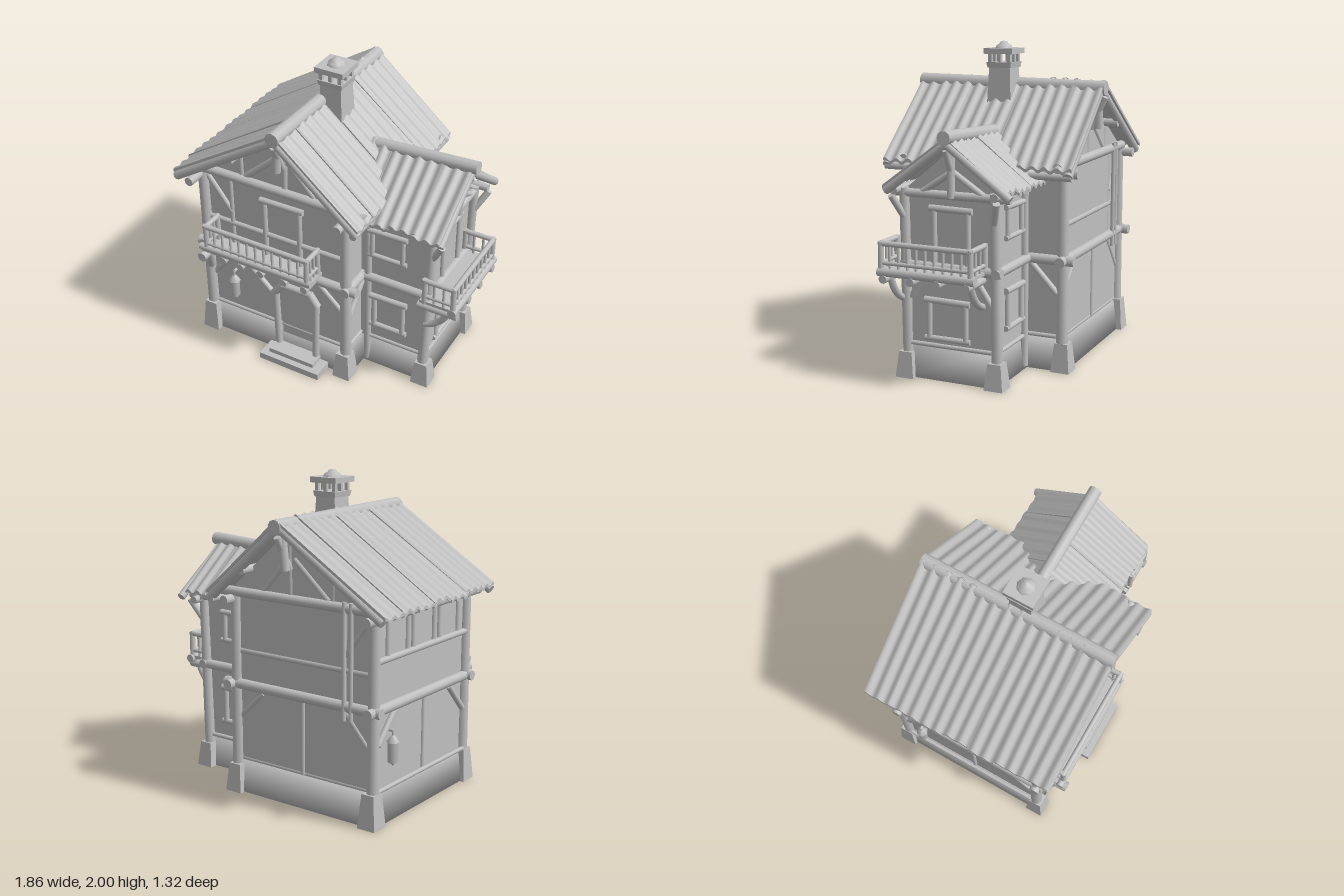
import * as THREE from 'three';
import { mergeVertices } from 'three/addons/utils/BufferGeometryUtils.js';

export function createModel() {
  const house = new THREE.Group();
  house.name = 'timberHouse';
  const grey = new THREE.MeshStandardMaterial({ color: 0xc0c0c0 });
  grey.name = 'plain grey';
  let seed = 7;
  const rnd = () => (seed = (seed * 16807) % 2147483647) / 2147483647 - 0.5;

  const add = (name, geo, x = 0, y = 0, z = 0) => {
    const m = new THREE.Mesh(geo, grey);
    m.name = name;
    m.position.set(x, y, z);
    house.add(m);
    return m;
  };
  // box given by its minimum and maximum corners
  const box = (name, a, b) => add(name, new THREE.BoxGeometry(b[0] - a[0], b[1] - a[1], b[2] - a[2]),
    (a[0] + b[0]) / 2, (a[1] + b[1]) / 2, (a[2] + b[2]) / 2);
  // round timber between two points
  const log = (name, a, b, r = 0.025, r2 = r) => {
    const p = new THREE.Vector3(...a), q = new THREE.Vector3(...b);
    const d = q.clone().sub(p), c = p.add(q).multiplyScalar(0.5);
    const m = add(name, new THREE.CylinderGeometry(r2, r, d.length(), 10), c.x, c.y, c.z);
    m.quaternion.setFromUnitVectors(new THREE.Vector3(0, 1, 0), d.normalize());
    return m;
  };
  // softly shaded plinth, wider at the ground
  const plinth = (name, x0, x1, z0, z1) => {
    let g = new THREE.BoxGeometry(x1 - x0, 0.21, z1 - z0);
    const p = g.attributes.position;
    for (let i = 0; i < p.count; i++) if (p.getY(i) < 0) {
      p.setX(i, p.getX(i) + 0.03 * Math.sign(p.getX(i)));
      p.setZ(i, p.getZ(i) + 0.03 * Math.sign(p.getZ(i)));
    }
    g.deleteAttribute('normal');
    g.deleteAttribute('uv');
    g = mergeVertices(g);
    g.computeVertexNormals();
    add(name, g, (x0 + x1) / 2, 0.108, (z0 + z1) / 2);
  };
  const stone = (x, z, h) => {
    const g = new THREE.CylinderGeometry(0.06, 0.085, h, 4, 1).rotateY(Math.PI / 4).toNonIndexed();
    g.computeVertexNormals();
    add('cornerStone', g, x, h / 2, z);
  };
  // gabled wall block extruded along its ridge
  const gable = (name, pts, depth) => add(name, new THREE.ExtrudeGeometry(
    new THREE.Shape(pts.map(p => new THREE.Vector2(...p))), { depth, bevelEnabled: false }));

  // ---- walls and plinths
  gable('mainWalls', [[-0.79, 0.2], [0.24, 0.2], [0.24, 1.32], [-0.17, 1.68], [-0.79, 1.29]], 1).position.z = -0.53;
  const wing = gable('wingWalls', [[-0.29, 0.2], [0.29, 0.2], [0.29, 1.19], [0.03, 1.42], [-0.29, 1.16]], 0.5);
  wing.rotation.y = Math.PI / 2;
  wing.position.x = 0.2;
  plinth('mainPlinth', -0.79, 0.24, -0.53, 0.47);
  plinth('wingPlinth', 0.1, 0.69, -0.28, 0.28);

  // ---- corner posts on stones
  for (const z of [0.48, -0.53]) {
    stone(-0.785, z + Math.sign(z) * 0.005, 0.21);
    stone(0.23, z + Math.sign(z) * 0.005, 0.18);
    log('cornerPost', [-0.79, 0.18, z], [-0.79, 1.27, z], 0.038, 0.034);
    log('cornerPost', [0.235, 0.15, z], [0.235, 1.27, z], 0.038, 0.034);
  }
  for (const z of [0.29, -0.3]) {
    stone(0.695, z, 0.16);
    log('wingPost', [0.69, 0.14, z], [0.72, 1.17, z], 0.035, 0.03);
    log('innerPost', [0.29, 0.02, z], [0.29, 1.17, z], 0.025);
    log('wingSill', [0.27, 0.215, z], [0.7, 0.215, z], 0.014);
    log('wingBelt', [0.25, 0.7, z * 1.03], [0.74, 0.7, z * 1.03], 0.03);
    log('wingPlate', [0.25, 1.16, z * 1.1], [0.8, 1.16, z * 1.1], 0.025);
    log('wingKnee', [0.73, 1.0, z], [0.8, 1.13, z * 1.15], 0.022);
    log('wingWallBrace', [0.7, 0.5, z * 0.9], [0.7, 0.68, z * 0.5], 0.02);
  }
  log('wingSideSill', [0.7, 0.215, -0.3], [0.7, 0.215, 0.3], 0.014);
  log('wingSideBelt', [0.71, 0.7, -0.34], [0.71, 0.7, 0.34], 0.03);

  // ---- belts, sills and plates of the main block
  for (const z of [0.49, -0.54]) {
    const s = Math.sign(z), w = z - s * 0.02;
    log('belt', [-0.85, 0.7, z], [0.32, 0.7, z], 0.032);
    log('sill', [-0.79, 0.215, w], [0.24, 0.215, w], 0.014);
    log('tieBeam', [-0.82, 1.28, z], [0.37, 1.28, z], 0.03);
    log('rail', [-0.79, 0.91, w], [0.24, 0.91, w], 0.02);
    log('upperStud', [-0.59, 0.7, w], [-0.59, 1.26, w], 0.016);
    log('upperBrace', [-0.77, 1.24, w], [-0.59, 1.0, w], 0.02);
    log('lowerBrace', [-0.77, 0.45, w], [-0.57, 0.68, w], 0.02);
    log('lowerBrace', [0.21, 0.49, w], [0.03, 0.66, w], 0.02);
    // gable timbers
    log('kingPost', [-0.2, 1.46, z + s * 0.05], [-0.18, 1.7, z + s * 0.06], 0.028);
    log('kingStud', [-0.19, 1.28, w], [-0.18, 1.68, w], 0.02);
    log('gableBrace', [-0.47, 1.3, w], [-0.22, 1.52, w], 0.022);
    log('gableBrace', [0.02, 1.3, w], [-0.16, 1.5, w], 0.022);
    log('gableStud', [-0.5, 1.28, w], [-0.5, 1.46, w], 0.016);
    log('kingKnee', [-0.19, 1.46, z], [-0.18, 1.66, z + s * 0.1], 0.022);
    const e = s > 0 ? 0.6 : -0.61;
    log('rafter', [-0.9, 1.245, e], [-0.17, 1.71, e], 0.03);
    log('rafter', [0.38, 1.235, e], [-0.17, 1.71, e], 0.03);
  }
  for (const x of [-0.8, 0.25]) {
    log('sideBelt', [x, 0.7, -0.61], [x, 0.7, 0.53], 0.032);
    log('sideSill', [x - 0.01, 0.215, -0.53], [x - 0.01, 0.215, 0.48], 0.014);
    log('eavePlate', [x, 1.235, -0.63], [x, 1.235, 0.62], 0.03);
    log('sideBrace', [x, 0.49, 0.45], [x, 0.67, 0.28], 0.02);
    log('sideBrace', [x, 0.49, -0.5], [x, 0.67, -0.33], 0.02);
  }
  log('eaveBeam', [0.36, 1.23, -0.63], [0.36, 1.23, 0.62], 0.024);
  for (const [x, y] of [[-0.5, 1.465], [0.12, 1.43]]) log('purlin', [x, y, -0.62], [x, y, 0.6], 0.026);

  // ---- back wall studs and left window band
  log('backStud', [-0.28, 0.21, -0.53], [-0.28, 0.7, -0.53], 0.015);
  for (const x of [-0.6, -0.65]) log('backPole', [x, 0.62, -0.56], [x, 1.32, -0.56], 0.014);
  log('windowSill', [-0.8, 0.99, -0.53], [-0.8, 0.99, 0.48], 0.02);
  for (const z of [-0.4, -0.19, -0.13, 0.1, 0.16, 0.38]) log('windowStud', [-0.79, 0.98, z], [-0.79, 1.23, z], 0.018);
  log('sideStud', [-0.79, 0.21, 0], [-0.79, 0.7, 0], 0.015);

  // ---- corrugated roofs, each slope made of overlapping sheets running down local +x
  const slope = (name, x, y, z, turn, width, run, drop, n) => {
    const roof = new THREE.Group();
    roof.name = name;
    roof.position.set(x, y, z);
    roof.rotation.y = turn;
    const w = width / n;
    for (let k = 0; k < n; k++) {
      const g = new THREE.BoxGeometry(1, 0.02, w * 1.06, 4, 1, 20), p = g.attributes.position;
      const lift = (k % 2) * 0.009, long = 1 + rnd() * 0.03, skew = rnd() * 0.03;
      for (let i = 0; i < p.count; i++) {
        const t = (p.getX(i) + 0.5) * long, u = p.getZ(i);
        const wave = 0.011 * Math.cos((u / w) * 2.2 * Math.PI * 2 + k);
        p.setXYZ(i, t * run, p.getY(i) - t * drop + wave + lift, u + (t - 0.5) * skew);
      }
      g.computeVertexNormals();
      const m = new THREE.Mesh(g, grey);
      m.name = 'roofSheet';
      m.position.z = (k + 0.5) * w - width / 2;
      roof.add(m);
    }
    house.add(roof);
  };
  slope('mainRoofLeft', -0.17, 1.745, -0.01, Math.PI, 1.25, 0.755, 0.475, 7);
  slope('mainRoofRight', -0.17, 1.745, -0.01, 0, 1.25, 0.56, 0.48, 7);
  slope('wingRoofFront', 0.46, 1.475, -0.03, -Math.PI / 2, 0.69, 0.415, 0.3, 4);
  slope('wingRoofBack', 0.46, 1.475, -0.03, Math.PI / 2, 0.69, 0.385, 0.3, 4);
  log('mainRidge', [-0.165, 1.715, -0.65], [-0.165, 1.73, 0.63], 0.046);
  log('wingRidge', [0.13, 1.455, -0.035], [0.845, 1.49, -0.035], 0.042);

  // ---- wing gable timbers
  log('wingTie', [0.72, 1.14, -0.4], [0.72, 1.14, 0.37], 0.026);
  log('wingKing', [0.74, 1.13, -0.03], [0.74, 1.44, -0.03], 0.024);
  for (const s of [1, -1]) {
    log('wingRafter', [0.8, 1.155, -0.03 + s * 0.4], [0.8, 1.45, -0.03], 0.026);
    log('wingGableBrace', [0.72, 1.15, -0.03 + s * 0.2], [0.72, 1.28, -0.03], 0.02);
  }
  log('wingRidgeKnee', [0.72, 1.25, -0.03], [0.81, 1.42, -0.03], 0.02);

  // ---- chimney
  const square = (name, rt, rb, h, y) => {
    const g = new THREE.CylinderGeometry(rt, rb, h, 4).rotateY(Math.PI / 4).toNonIndexed();
    g.computeVertexNormals();
    add(name, g, -0.093, y, 0.01);
  };
  square('chimneyStack', 0.1, 0.12, 0.3, 1.69);
  square('chimneyCollar', 0.12, 0.112, 0.035, 1.85);
  square('chimneySlab', 0.138, 0.138, 0.035, 1.937);
  for (const dx of [-0.065, 0, 0.065]) for (const dz of [-0.065, 0, 0.065])
    if (dx || dz) box('chimneyPillar', [-0.105 + dx, 1.86, -0.002 + dz], [-0.081 + dx, 1.925, 0.022 + dz]);
  add('chimneyCap', new THREE.LatheGeometry([[0.058, 0], [0.05, 0.018], [0.03, 0.027], [0.024, 0.04], [0, 0.046]]
    .map(p => new THREE.Vector2(...p)), 8), -0.093, 1.954, 0.01);

  // ---- balcony railing between two posts
  const railing = (a, b, y0, y1, n) => {
    const at = (t, y) => [a[0] + (b[0] - a[0]) * t, y, a[1] + (b[1] - a[1]) * t];
    log('handRail', at(-0.02, y1), at(1.02, y1), 0.017);
    log('footRail', at(0, y0 + 0.035), at(1, y0 + 0.035), 0.013);
    for (let i = 0; i <= n; i++) {
      const end = i === 0 || i === n;
      log(end ? 'railPost' : 'baluster', at(i / n, y0 - 0.02), at(i / n, y1 + (end ? 0.012 : 0)), end ? 0.018 : 0.009);
    }
  };
  // front balcony
  box('frontBalconyFloor', [-0.74, 0.735, 0.46], [0.06, 0.757, 0.63]);
  log('frontBalconyEdge', [-0.75, 0.765, 0.62], [0.07, 0.765, 0.62], 0.023);
  railing([-0.7, 0.62], [0.04, 0.62], 0.77, 0.93, 12);
  for (const x of [-0.7, 0.04]) railing([x, 0.49], [x, 0.62], 0.77, 0.93, 3);
  for (const x of [-0.72, -0.58, -0.45, -0.3, -0.13, 0.02])
    log('joist', [x, 0.705, 0.45], [x, 0.705, x < -0.7 ? 0.66 : 0.63], x < -0.7 ? 0.032 : 0.026);
  log('balconyStrut', [-0.76, 0.54, 0.51], [-0.72, 0.7, 0.58], 0.027);
  // wing balcony
  box('wingBalconyFloor', [0.68, 0.69, -0.24], [0.91, 0.71, 0.36]);
  log('wingBalconyEdge', [0.9, 0.69, -0.26], [0.9, 0.69, 0.37], 0.028);
  railing([0.9, -0.23], [0.9, 0.35], 0.71, 0.86, 10);
  for (const z of [-0.23, 0.35]) railing([0.71, z], [0.9, z], 0.71, 0.86, 3);
  for (const z of [-0.21, -0.02, 0.15, 0.33]) log('wingJoist', [0.66, 0.65, z], [0.925, 0.65, z], 0.026);
  for (const z of [-0.21, 0.31]) {
    const curve = new THREE.QuadraticBezierCurve3(new THREE.Vector3(0.7, 0.49, z),
      new THREE.Vector3(0.81, 0.52, z), new THREE.Vector3(0.86, 0.65, z));
    add('curvedStrut', new THREE.TubeGeometry(curve, 8, 0.022, 8));
  }

  // ---- doors and windows: frame timbers on the front (f) or on the wing side (s)
  const frame = (name, on, d, u0, u1, y0, y1, r, bottom = true) => {
    const P = (u, y) => on === 'f' ? [u, y, d] : [d, y, u];
    log(name + 'Head', P(u0 - 0.03, y1), P(u1 + 0.03, y1 + 0.005), r * 1.15);
    if (bottom) log(name + 'Foot', P(u0 - 0.03, y0), P(u1 + 0.03, y0), r);
    for (const u of [u0, u1]) log(name + 'Jamb', P(u, y0), P(u, y1 + 0.01), r);
  };
  frame('upperDoor', 'f', 0.48, -0.34, -0.09, 0.76, 1.165, 0.018, false);
  frame('wingUpperWindow', 'f', 0.3, 0.32, 0.53, 0.88, 1.06, 0.016);
  frame('wingLowerWindow', 'f', 0.3, 0.34, 0.54, 0.33, 0.555, 0.018);
  frame('wingBackWindow', 'f', -0.3, 0.34, 0.54, 0.33, 0.555, 0.018);
  frame('wingBackUpperWindow', 'f', -0.3, 0.34, 0.54, 0.88, 1.06, 0.016);
  frame('wingSideDoor', 's', 0.705, -0.12, 0.1, 0.72, 1.05, 0.018, false);
  frame('wingSideWindow', 's', 0.7, -0.1, 0.14, 0.26, 0.49, 0.018);
  // front door with angled shoulders and steps
  for (const [x, lean] of [[-0.26, -0.01], [0.02, 0.01]]) log('doorJamb', [x, 0.05, 0.5], [x + lean, 0.5, 0.5], 0.024);
  log('doorHead', [-0.23, 0.565, 0.5], [0, 0.565, 0.5], 0.024);
  log('doorShoulder', [-0.29, 0.47, 0.5], [-0.21, 0.575, 0.5], 0.026);
  log('doorShoulder', [0.04, 0.49, 0.5], [-0.02, 0.575, 0.5], 0.026);
  log('doorBrace', [-0.31, 0.46, 0.48], [-0.52, 0.66, 0.48], 0.02);
  box('doorLeaf', [-0.24, 0.07, 0.46], [0, 0.55, 0.479]);
  box('lowerStep', [-0.33, 0, 0.44], [0.11, 0.045, 0.635]);
  box('upperStep', [-0.28, 0.045, 0.44], [0.05, 0.075, 0.595]);

  // ---- lanterns on brackets
  const lantern = (x, z, dx, dz) => {
    const prof = [[0, 0], [0.018, 0.015], [0.03, 0.02], [0.033, 0.14], [0.04, 0.145], [0.015, 0.18], [0, 0.19]];
    add('lantern', new THREE.LatheGeometry(prof.map(p => new THREE.Vector2(...p)), 6), x, 0.345, z);
    log('lanternHook', [x, 0.52, z], [x, 0.565, z], 0.007);
    log('lanternArm', [x, 0.56, z], [x + dx, 0.56, z + dz], 0.01);
  };
  lantern(-0.57, 0.53, 0, -0.08);
  lantern(-0.825, -0.38, 0.06, 0);

  return house;
}
